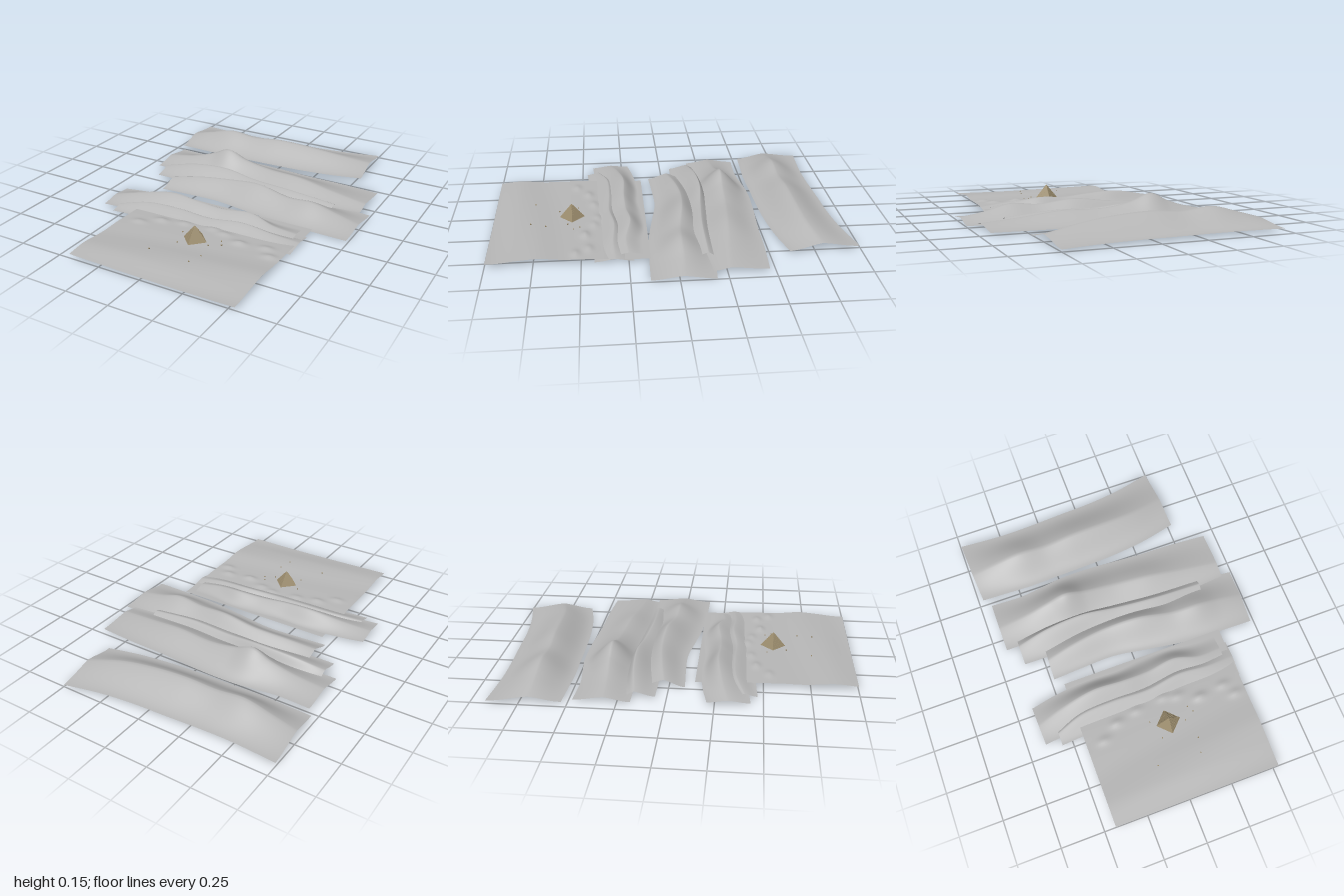
import * as THREE from 'three';

const sand = new THREE.MeshStandardMaterial({ color: 0xb6b6b6, side: THREE.DoubleSide });
sand.name = 'pale grey sand';
const stone = new THREE.MeshStandardMaterial({ color: 0x9c8d6e, flatShading: true });
stone.name = 'tan stone';

// Smooth sheet from a rule point(u, v): u runs left to right, v back to front
function sheet(name, nu, nv, point) {
  const pos = [], index = [];
  for (let i = 0; i <= nu; i++) {
    for (let j = 0; j <= nv; j++) {
      pos.push(...point(i / nu, j / nv));
      if (i < nu && j < nv) {
        const a = i * (nv + 1) + j, c = a + nv + 1;
        index.push(a, a + 1, c, c, a + 1, c + 1);
      }
    }
  }
  const geo = new THREE.BufferGeometry();
  geo.setAttribute('position', new THREE.Float32BufferAttribute(pos, 3));
  geo.setIndex(index);
  geo.computeVertexNormals();
  const mesh = new THREE.Mesh(geo, sand);
  mesh.name = name;
  return mesh;
}

// Dune ridge from stations [x, back z, crest z, front z, crest height]
function ridge(name, base, skew, stations) {
  const edges = new THREE.CatmullRomCurve3(stations.map(s => new THREE.Vector3(s[0], s[1], s[3])));
  const crest = new THREE.CatmullRomCurve3(stations.map(s => new THREE.Vector3(s[0], s[4], s[2])));
  return sheet(name, 72, 28, (u, v) => {
    const e = edges.getPoint(u), c = crest.getPoint(u);
    const s = v < 0.5 ? v * 2 : (1 - v) * 2;
    const z = v < 0.5 ? THREE.MathUtils.lerp(e.y, c.z, s) : THREE.MathUtils.lerp(e.z, c.z, s);
    const rise = 0.7 * s * s * (3 - 2 * s) + 0.3 * s * s;
    return [e.x + skew * v, base + (c.y - base) * rise, z];
  });
}

// Small mounds on the plain: [x, z, height]
const mounds = [
  [-0.33, 0.53, 0.010], [-0.23, 0.46, 0.012], [-0.1, 0.43, 0.010], [0.07, 0.41, 0.010],
  [0.15, 0.43, 0.010], [0.27, 0.48, 0.014], [0.42, 0.46, 0.011], [0.47, 0.53, 0.011],
];
function plainHeight(x, z) {
  let y = 0.01 + 0.012 * THREE.MathUtils.smoothstep(z, 0.2, 0.5);
  y += 0.007 * THREE.MathUtils.smoothstep(z, 0.5, 0.75) * (1 + Math.sin(z * 14 + x * 3 - 10));
  y -= 0.008 * THREE.MathUtils.smoothstep(z, 0.85, 1);
  for (const [mx, mz, h] of mounds) {
    y += h * Math.exp(-(((x - mx) / 0.04) ** 2) - ((z - mz) / 0.022) ** 2);
  }
  return y;
}

export function createModel() {
  const model = new THREE.Group();
  model.name = 'desertDunes';

  // Dune ridges from the farthest to the nearest
  model.add(ridge('farRidge', 0.012, 0.024, [
    [-0.745, -0.92, -0.7, -0.53, 0.04], [-0.6, -0.91, -0.7, -0.525, 0.08],
    [-0.45, -0.905, -0.7, -0.52, 0.115], [-0.28, -0.91, -0.7, -0.525, 0.1],
    [-0.1, -0.92, -0.71, -0.53, 0.112], [0.1, -0.93, -0.72, -0.54, 0.103],
    [0.3, -0.955, -0.74, -0.565, 0.08], [0.5, -1, -0.79, -0.61, 0.045],
  ]));
  model.add(ridge('peakRidge', 0.008, 0, [
    [-0.684, -0.48, -0.32, -0.18, 0.03], [-0.5, -0.475, -0.33, -0.18, 0.06],
    [-0.37, -0.49, -0.34, -0.18, 0.1], [-0.26, -0.505, -0.34, -0.17, 0.147],
    [-0.14, -0.51, -0.335, -0.17, 0.105], [0.02, -0.505, -0.33, -0.16, 0.078],
    [0.25, -0.49, -0.31, -0.15, 0.075], [0.45, -0.485, -0.29, -0.16, 0.05],
    [0.684, -0.47, -0.27, -0.18, 0.025],
  ]));
  model.add(ridge('lowBackRidge', 0.006, 0, [
    [-0.61, -0.225, -0.17, -0.06, 0.03], [-0.42, -0.25, -0.2, -0.06, 0.068],
    [-0.2, -0.26, -0.21, -0.08, 0.08], [0, -0.25, -0.19, -0.06, 0.06],
    [0.25, -0.23, -0.17, -0.06, 0.055], [0.53, -0.22, -0.17, -0.1, 0.03],
  ]));
  model.add(ridge('middleRidge', 0, -0.008, [
    [-0.472, -0.14, -0.03, 0.085, 0.035], [-0.3, -0.17, -0.06, 0.075, 0.062],
    [-0.1, -0.19, -0.08, 0.07, 0.08], [0.1, -0.19, -0.07, 0.1, 0.1],
    [0.3, -0.19, -0.04, 0.13, 0.075], [0.46, -0.2, -0.03, 0.14, 0.085],
    [0.6, -0.2, -0.03, 0.145, 0.05], [0.742, -0.19, -0.02, 0.148, 0.02],
  ]));
  model.add(ridge('frontRidge', 0.012, 0.008, [
    [-0.655, 0.21, 0.32, 0.435, 0.025], [-0.5, 0.18, 0.28, 0.42, 0.055],
    [-0.3, 0.165, 0.25, 0.4, 0.088], [-0.12, 0.17, 0.255, 0.39, 0.078],
    [0.03, 0.155, 0.25, 0.37, 0.065], [0.2, 0.15, 0.23, 0.36, 0.073],
    [0.35, 0.17, 0.26, 0.36, 0.045], [0.485, 0.17, 0.25, 0.33, 0.025],
  ]));
  model.add(ridge('nearRidge', 0.005, 0, [
    [-0.56, 0.37, 0.4, 0.47, 0.02], [-0.4, 0.29, 0.35, 0.46, 0.045],
    [-0.2, 0.27, 0.34, 0.455, 0.05], [0, 0.28, 0.345, 0.45, 0.043],
    [0.2, 0.25, 0.32, 0.43, 0.052], [0.38, 0.25, 0.33, 0.43, 0.038],
    [0.54, 0.22, 0.32, 0.43, 0.02],
  ]));

  // Gently rolling plain
  model.add(sheet('sandPlain', 70, 70, (u, v) => {
    const x = -0.435 + 0.967 * u, z = 0.135 + 0.865 * v;
    return [x, plainHeight(x, z), z];
  }));

  // Pyramid in stone courses, corners towards x and z
  const pyramid = new THREE.Group();
  pyramid.name = 'pyramid';
  pyramid.position.set(0.045, 0.015, 0.555);
  const courses = 9, height = 0.09, radius = 0.076;
  for (let i = 0; i < courses; i++) {
    const top = radius * (1 - (i + 1) / courses), h = height / courses;
    const course = new THREE.Mesh(
      new THREE.CylinderGeometry(i < courses - 1 ? top + 0.002 : 0, radius * (1 - i / courses), h, 4), stone);
    course.name = 'stoneCourse';
    course.position.y = (i + 0.5) * h;
    pyramid.add(course);
  }
  model.add(pyramid);

  // Loose stones around the pyramid
  const stones = [[-0.055, 0.52], [-0.02, 0.63], [0.18, 0.51], [0.2, 0.545],
    [0.14, 0.58], [0.17, 0.7], [-0.1, 0.77], [0.15, 0.785]];
  stones.forEach(([x, z], i) => {
    const rock = new THREE.Mesh(new THREE.BoxGeometry(0.006, 0.006, 0.006), stone);
    rock.name = 'looseStone';
    rock.position.set(x, plainHeight(x, z) + 0.002, z);
    rock.rotation.y = i;
    model.add(rock);
  });
  return model;
}
